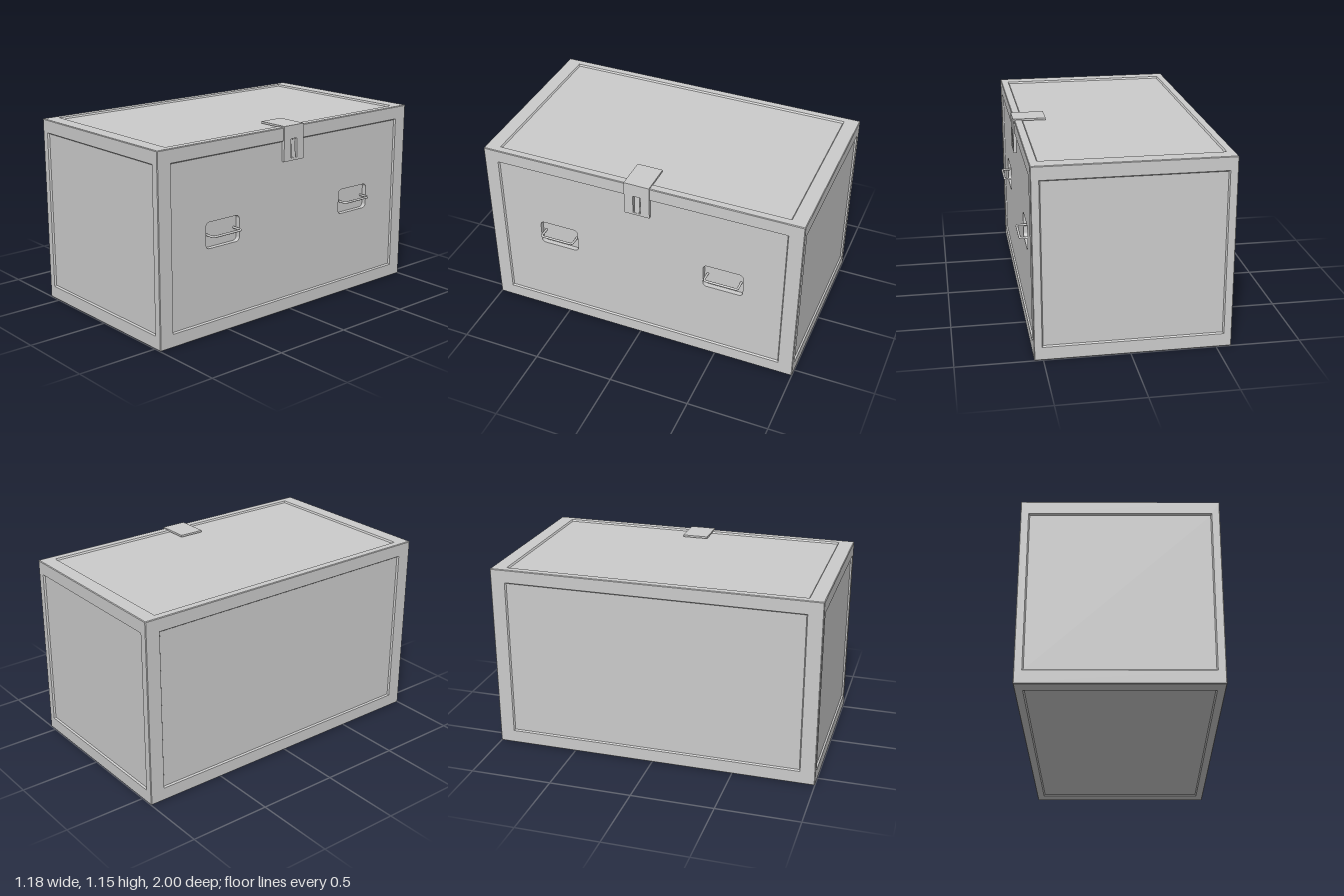
import * as THREE from 'three';

const material = new THREE.MeshStandardMaterial({ color: 0xcccccc });

// Crate extents and frame widths along x, y, z
const LO = [-0.59, 0, -1], HI = [0.552, 1.146, 1];
const MARGIN = [0.046, 0.08, 0.09];
const BEVEL = 0.004, SLOPE = 0.007, DEPTH = 0.01;

function add(parent, name, geometry) {
  const mesh = new THREE.Mesh(geometry, material);
  mesh.name = name;
  parent.add(mesh);
  return mesh;
}

// One crate side: chamfer, flat frame, sloped step and recessed panel
function sideGeometry(axis, sign, capped) {
  const u = (axis + 1) % 3, v = (axis + 2) % 3;
  const ring = (iu, iv, depth) =>
    [[0, 0], [1, 0], [1, 1], [0, 1]].map(([a, b]) => {
      const p = [0, 0, 0];
      p[u] = a ? HI[u] - iu : LO[u] + iu;
      p[v] = b ? HI[v] - iv : LO[v] + iv;
      p[axis] = sign > 0 ? HI[axis] - depth : LO[axis] + depth;
      return p;
    });
  const rings = [
    ring(BEVEL / 2, BEVEL / 2, BEVEL / 2),
    ring(BEVEL, BEVEL, 0),
    ring(MARGIN[u], MARGIN[v], 0),
    ring(MARGIN[u] + SLOPE, MARGIN[v] + SLOPE, DEPTH),
  ];
  const points = [];
  const quad = (a, b, c, d) => {
    const corners = sign > 0 ? [a, b, c, a, c, d] : [a, c, b, a, d, c];
    corners.forEach((p) => points.push(...p));
  };
  for (let r = 0; r < rings.length - 1; r++) {
    for (let i = 0; i < 4; i++) {
      const j = (i + 1) % 4;
      quad(rings[r][i], rings[r][j], rings[r + 1][j], rings[r + 1][i]);
    }
  }
  if (capped) quad(...rings[3]);
  const geometry = new THREE.BufferGeometry();
  geometry.setAttribute('position', new THREE.Float32BufferAttribute(points, 3));
  geometry.computeVertexNormals();
  return geometry;
}

// Rounded rectangle outline
function roundedRect(path, x0, y0, x1, y1, r) {
  path.moveTo(x0 + r, y0);
  path.lineTo(x1 - r, y0);
  path.absarc(x1 - r, y0 + r, r, -Math.PI / 2, 0);
  path.lineTo(x1, y1 - r);
  path.absarc(x1 - r, y1 - r, r, 0, Math.PI / 2);
  path.lineTo(x0 + r, y1);
  path.absarc(x0 + r, y1 - r, r, Math.PI / 2, Math.PI);
  path.lineTo(x0, y0 + r);
  path.absarc(x0 + r, y0 + r, r, Math.PI, Math.PI * 1.5);
  return path;
}

// Plate drawn in (-z, y) whose outer face lies at the given x
function platePlusX(shape, outerX, depth) {
  const geometry = new THREE.ExtrudeGeometry(shape, { depth, bevelEnabled: false, curveSegments: 6 });
  geometry.rotateY(Math.PI / 2);
  geometry.translate(outerX - depth, 0, 0);
  return geometry;
}

export function createModel() {
  const model = new THREE.Group();
  model.name = 'crate';

  // Six framed sides
  const names = ['leftSide', 'top', 'front', 'rightSide', 'bottom', 'back'];
  names.forEach((name, i) => {
    add(model, name, sideGeometry(i % 3, i < 3 ? 1 : -1, i !== 0));
  });

  // Panel of the handle side, pierced by two handle pockets
  const panelX = HI[0] - DEPTH, pocket = 0.03;
  const my = MARGIN[1] + SLOPE, mz = 1 - MARGIN[2] - SLOPE;
  const panel = new THREE.Shape([
    [-mz, my], [mz, my], [mz, HI[1] - my], [-mz, HI[1] - my],
  ].map(([a, b]) => new THREE.Vector2(a, b)));
  for (const s of [-1, 1]) {
    panel.holes.push(roundedRect(new THREE.Path(), s * 0.535 - 0.125, 0.523, s * 0.535 + 0.125, 0.68, 0.025));
  }
  add(model, 'handlePanel', platePlusX(panel, panelX, pocket));

  for (const s of [-1, 1]) {
    // Pocket floor
    const floor = add(model, 'pocketFloor', new THREE.BoxGeometry(0.01, 0.18, 0.27));
    floor.position.set(panelX - pocket - 0.004, 0.602, s * 0.535);

    // Bent rod handle
    const path = new THREE.CurvePath();
    const V = (x, z) => new THREE.Vector3(x, 0.602, s * 0.535 + z);
    const inX = panelX - pocket, outX = 0.584, half = 0.105, r = 0.018;
    path.add(new THREE.LineCurve3(V(inX, -half), V(outX - r, -half)));
    path.add(new THREE.QuadraticBezierCurve3(V(outX - r, -half), V(outX, -half), V(outX, -half + r)));
    path.add(new THREE.LineCurve3(V(outX, -half + r), V(outX, half - r)));
    path.add(new THREE.QuadraticBezierCurve3(V(outX, half - r), V(outX, half), V(outX - r, half)));
    path.add(new THREE.LineCurve3(V(outX - r, half), V(inX, half)));
    add(model, 'handle', new THREE.TubeGeometry(path, 80, 0.007, 10, false));
  }

  // Latch: a flat tab on the lid and a slotted plate hanging over the side
  const latch = new THREE.Group();
  latch.name = 'latch';
  model.add(latch);
  const tab = add(latch, 'latchTab', new THREE.BoxGeometry(0.2, 0.012, 0.158));
  tab.position.set(0.46, 1.147, 0);
  const plate = roundedRect(new THREE.Shape(), -0.079, 0.94, 0.079, 1.153, 0.001);
  plate.holes.push(roundedRect(new THREE.Path(), -0.024, 0.955, 0.024, 1.072, 0.002));
  add(latch, 'latchPlate', platePlusX(plate, 0.56, 0.02));
  // Tongue inside the slot, leaning inward towards its top
  const tongue = add(latch, 'latchTongue', new THREE.BoxGeometry(0.006, 0.118, 0.03));
  tongue.position.set(0.551, 1.012, 0);
  tongue.rotation.z = 0.08;

  return model;
}
